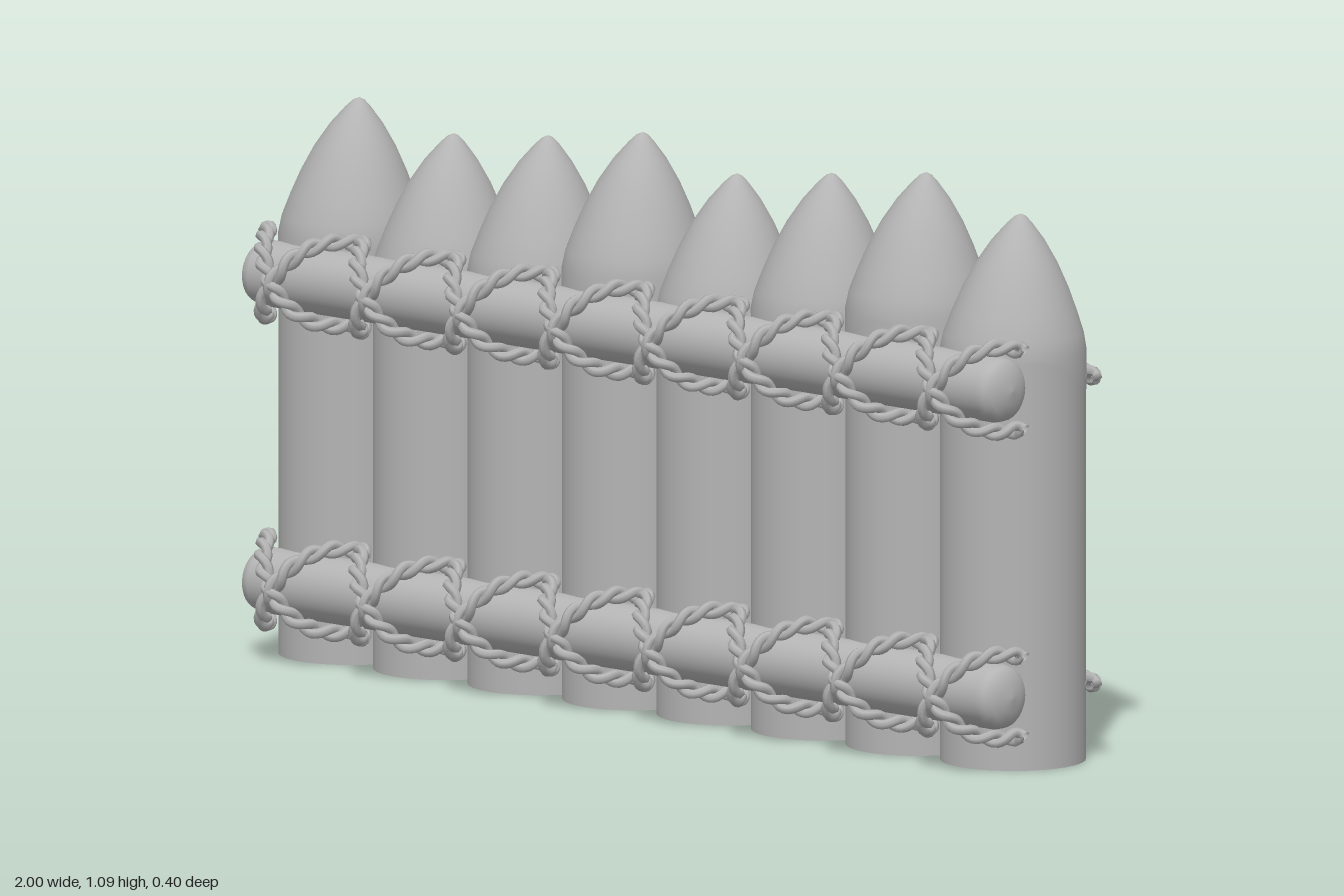
import * as THREE from 'three';

const grey = new THREE.MeshStandardMaterial({ color: 0xb4b4b4, side: THREE.DoubleSide });
grey.name = 'plain grey';

const COUNT = 8, STEP = 0.2457, R = 0.137, POST_Z = -0.037;
const HEIGHTS = [1.06, 1.02, 1.045, 1.08, 1.03, 1.06, 1.09, 1.04];
const RAIL_Z = 0.095, RAIL_R = 0.0625, RAIL_HEIGHTS = [0.145, 0.73];
const postX = (i) => (i - (COUNT - 1) / 2) * STEP;

function add(parent, name, geometry, x = 0, y = 0, z = 0) {
  const mesh = new THREE.Mesh(geometry, grey);
  mesh.name = name;
  mesh.position.set(x, y, z);
  parent.add(mesh);
  return mesh;
}

// Carved point: a leaning ogive whose lower hem is cut unevenly
function tipGeometry(seed) {
  const profile = [
    [0.1385, -0.33], [0.1385, -0.26], [0.132, -0.225], [0.118, -0.185], [0.1, -0.14],
    [0.077, -0.093], [0.05, -0.05], [0.024, -0.018], [0.011, -0.005], [0, 0],
  ].map(([r, y]) => new THREE.Vector2(r, y));
  const geo = new THREE.LatheGeometry(profile, 40);
  const p = geo.attributes.position;
  for (let i = 0; i < p.count; i++) {
    const x = p.getX(i), y = p.getY(i), z = p.getZ(i);
    const lean = 1 - Math.hypot(x, z) / 0.1385;
    if (y < -0.32) {
      const a = Math.atan2(z, x);
      p.setY(i, -0.305 + 0.025 * Math.sin(2 * a + seed * 1.9) + 0.015 * Math.sin(3 * a + seed * 2.7));
    }
    p.setX(i, x + 0.013 * lean);
    p.setZ(i, z - 0.008 * lean);
  }
  return geo;
}

// One strand twisting about a base path given by path(t) -> Vector3
class StrandCurve extends THREE.Curve {
  constructor(path, turns, phase) {
    super();
    Object.assign(this, { path, turns, phase, arcLengthDivisions: 1200 });
  }
  getPoint(t, target = new THREE.Vector3()) {
    const e = 1e-4;
    const tangent = this.path(t + e).sub(this.path(t - e)).normalize();
    const side = tangent.clone().cross(new THREE.Vector3(0, 1, 0)).normalize();
    const up = side.clone().cross(tangent);
    const a = this.turns * t * Math.PI * 2 + this.phase;
    return target.copy(this.path(t)).addScaledVector(side, 0.0085 * Math.cos(a)).addScaledVector(up, 0.0085 * Math.sin(a));
  }
}

// Rope made of two twisted strands
function rope(name, path, turns, segments) {
  const group = new THREE.Group();
  group.name = name;
  for (const phase of [0, Math.PI]) {
    add(group, name + 'Strand', new THREE.TubeGeometry(new StrandCurve(path, turns, phase), segments, 0.0095, 6));
  }
  return group;
}

// Lashing that zigzags around the front of a rail, crossing at every post
const lashingPath = (y, sign) => (t) => {
  const u = t * COUNT;
  const a = sign * 2.15 * (2 / Math.PI) * Math.asin(0.985 * Math.cos(Math.PI * u));
  return new THREE.Vector3((u - COUNT / 2) * STEP, y + 0.08 * Math.sin(a), RAIL_Z + 0.086 * Math.cos(a));
};

// Rope that hugs the back of the posts
const backPath = (y) => (t) => {
  const u = t * COUNT;
  const dx = (u - Math.floor(u) - 0.5) * STEP;
  return new THREE.Vector3((u - COUNT / 2) * STEP, y + 0.004 * Math.sin(Math.PI * 2 * u),
    POST_Z - Math.sqrt(0.151 ** 2 - dx * dx));
};

// Log rail with softly domed ends
function railGeometry() {
  const half = 0.985;
  const side = [[0, half], [0.025, half - 0.003], [0.046, half - 0.011], [0.058, half - 0.022], [RAIL_R, half - 0.04]];
  const points = [
    ...side.map(([r, y]) => new THREE.Vector2(r, -y)),
    ...side.reverse().map(([r, y]) => new THREE.Vector2(r, y)),
  ];
  return new THREE.LatheGeometry(points, 32).rotateZ(Math.PI / 2);
}

export function createModel() {
  const model = new THREE.Group();
  model.name = 'palisadeFence';

  // Hollow posts with carved points
  HEIGHTS.forEach((h, i) => {
    const post = new THREE.Group();
    post.name = 'post';
    post.position.set(postX(i), 0, POST_Z);
    const bodyHeight = h - 0.262;
    add(post, 'postBody', new THREE.CylinderGeometry(R, R, bodyHeight, 40, 1, true), 0, bodyHeight / 2, 0);
    add(post, 'postTip', tipGeometry(i), 0, h, 0);
    model.add(post);
  });

  // Rails with their lashings
  for (const y of RAIL_HEIGHTS) {
    add(model, 'rail', railGeometry(), 0, y, RAIL_Z);
    model.add(rope('frontLashing', lashingPath(y, 1), COUNT * 5, 480));
    model.add(rope('frontLashing', lashingPath(y, -1), COUNT * 5, 480));
    model.add(rope('backRope', backPath(y), COUNT * 3.5, 360));
  }
  return model;
}
